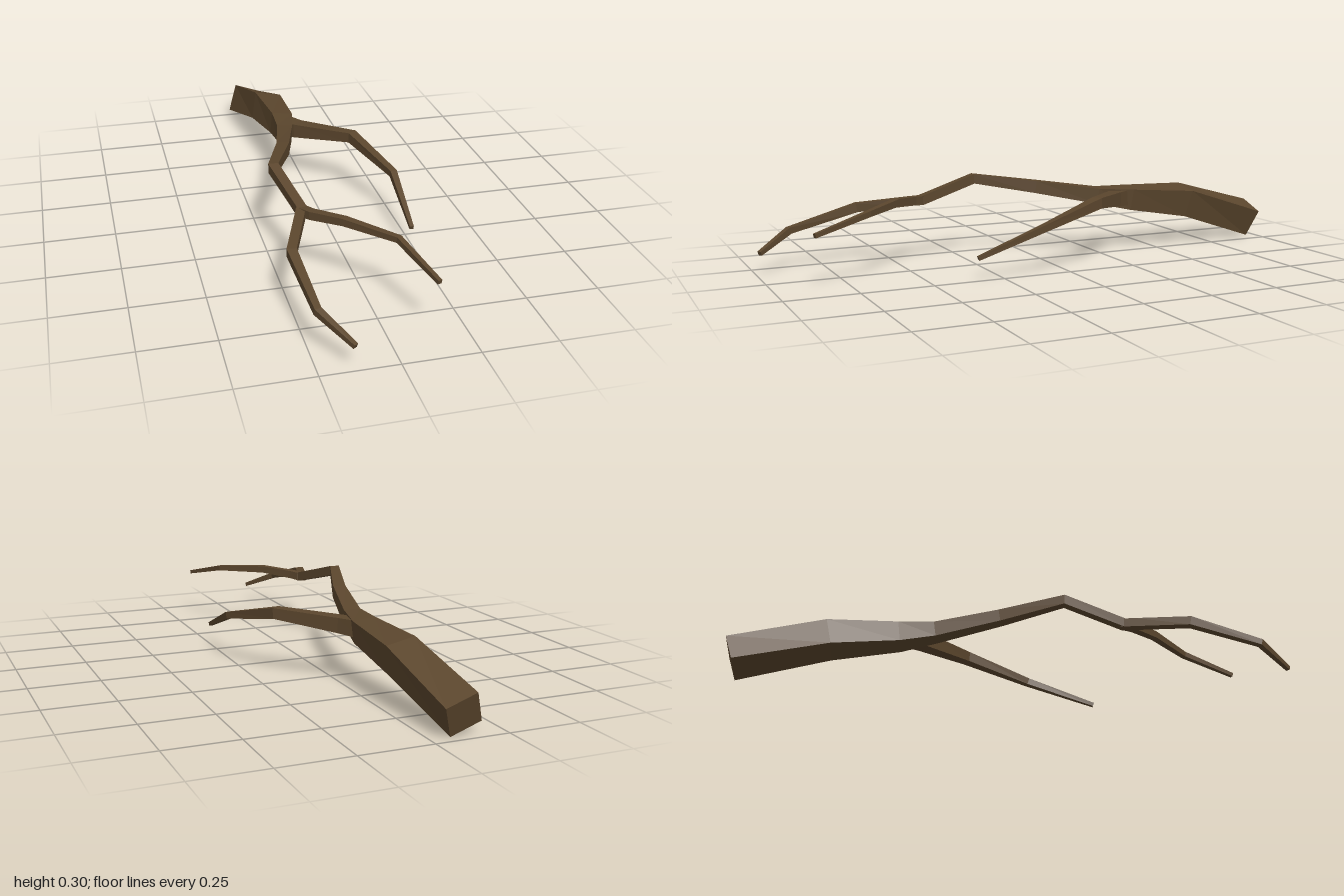
import * as THREE from 'three';

// Square-section limb through rings of [x, y, z, width, roll]
function limb(name, rings, material) {
  const centres = rings.map(([x, y, z]) => new THREE.Vector3(x, y, z));
  const up = new THREE.Vector3(0, 1, 0);
  const last = rings.length - 1;
  const corners = rings.map(([, , , width, roll = 0], i) => {
    // ring plane follows the average of the two neighbouring directions
    const t = new THREE.Vector3();
    if (i > 0) t.add(centres[i].clone().sub(centres[i - 1]).normalize());
    if (i < last) t.add(centres[i + 1].clone().sub(centres[i]).normalize());
    t.normalize();
    const side = up.clone().cross(t).normalize().applyAxisAngle(t, roll);
    const rise = t.clone().cross(side);
    return [[-1, -1], [1, -1], [1, 1], [-1, 1]].map(([a, b]) =>
      centres[i].clone().addScaledVector(side, a * width / 2).addScaledVector(rise, b * width / 2));
  });

  const positions = [];
  const quad = (a, b, c, d) => [a, b, c, a, c, d].forEach(p => positions.push(p.x, p.y, p.z));
  for (let i = 0; i < last; i++) {
    for (let j = 0; j < 4; j++) {
      const k = (j + 1) % 4;
      quad(corners[i][j], corners[i][k], corners[i + 1][k], corners[i + 1][j]);
    }
  }
  quad(...corners[0].slice().reverse());
  quad(...corners[last]);

  const geometry = new THREE.BufferGeometry();
  geometry.setAttribute('position', new THREE.Float32BufferAttribute(positions, 3));
  geometry.computeVertexNormals();
  const mesh = new THREE.Mesh(geometry, material);
  mesh.name = name;
  return mesh;
}

export function createModel() {
  const bark = new THREE.MeshStandardMaterial({ color: 0x5b462d, flatShading: true });
  bark.name = 'bark';

  const group = new THREE.Group();
  group.name = 'branch';

  // Thick base running forward to the second fork
  group.add(limb('mainStem', [
    [-0.102, 0.073, -0.982, 0.112, -0.36],
    [-0.068, 0.172, -0.65, 0.106, -0.2],
    [-0.058, 0.198, -0.4, 0.08, -0.12],
    [-0.073, 0.213, -0.27, 0.058, -0.05],
    [-0.128, 0.253, -0.04, 0.045],
    [-0.208, 0.286, 0.18, 0.035],
    [-0.16, 0.226, 0.4, 0.033],
    [-0.162, 0.223, 0.425, 0.03],
  ], bark));

  // Side branch from the first fork
  group.add(limb('leftBranch', [
    [-0.065, 0.2, -0.39, 0.06],
    [-0.01, 0.204, -0.315, 0.053],
    [0.162, 0.224, -0.15, 0.038],
    [0.252, 0.171, 0.09, 0.025],
    [0.243, 0.08, 0.342, 0.014],
  ], bark));

  // Two twigs from the second fork
  group.add(limb('rightTwig', [
    [-0.158, 0.227, 0.39, 0.032],
    [-0.176, 0.222, 0.44, 0.032],
    [-0.243, 0.202, 0.62, 0.032],
    [-0.222, 0.14, 0.87, 0.023],
    [-0.138, 0.083, 0.99, 0.015],
  ], bark));
  group.add(limb('leftTwig', [
    [-0.162, 0.226, 0.395, 0.03],
    [-0.135, 0.23, 0.44, 0.029],
    [-0.05, 0.241, 0.53, 0.026],
    [0.088, 0.232, 0.67, 0.02],
    [0.155, 0.184, 0.87, 0.014],
  ], bark));

  return group;
}
